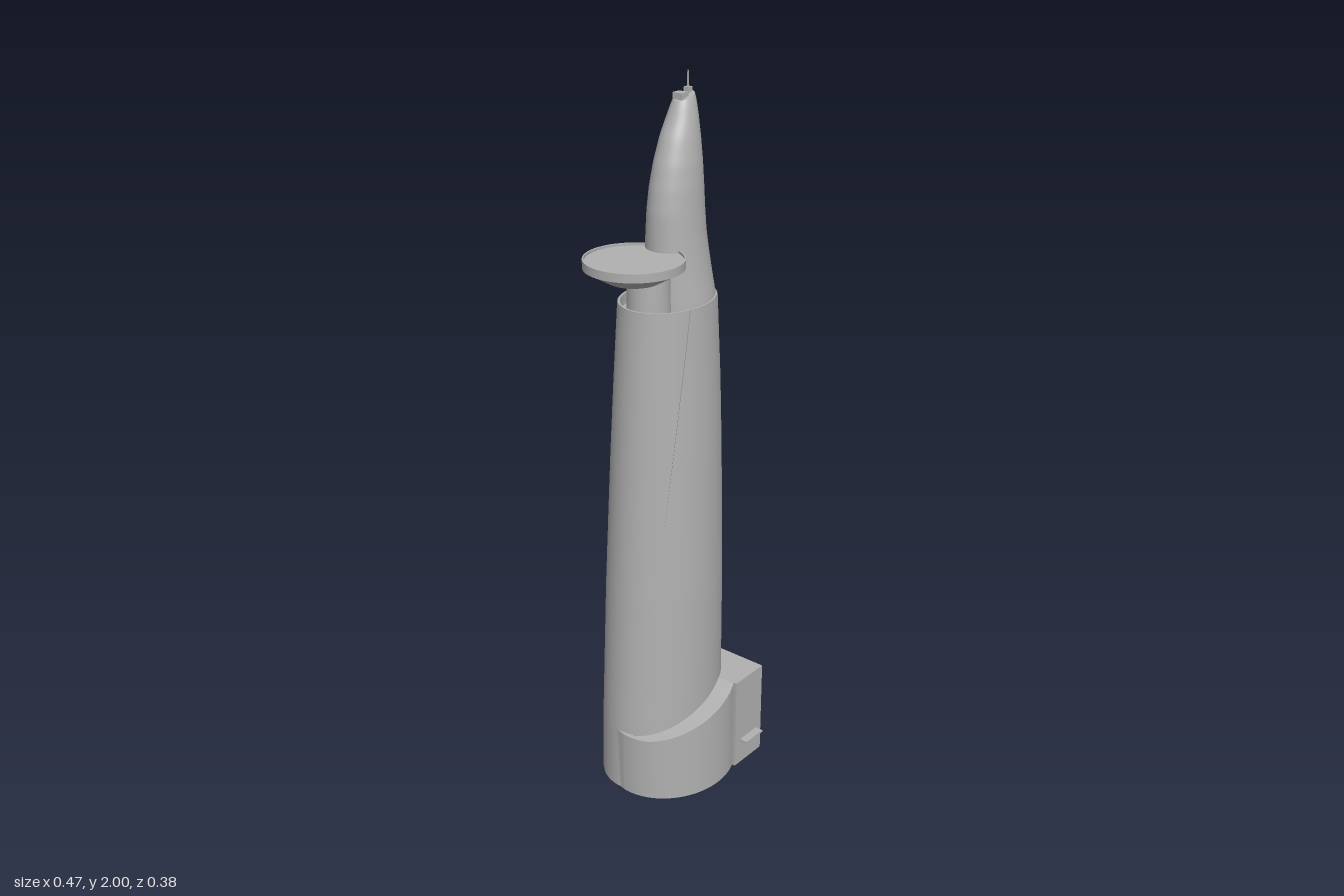
import * as THREE from 'three';

const RAD = Math.PI / 180;
const grey = new THREE.MeshStandardMaterial({ color: 0xb0b0b0, side: THREE.DoubleSide });
grey.name = 'concreteGrey';

// Smooth surface from f(u, v); u runs round the tower, v runs up
function surface(name, nu, nv, f, wrap = false) {
  const pos = [], index = [], cols = wrap ? nu : nu + 1;
  for (let j = 0; j <= nv; j++)
    for (let i = 0; i < cols; i++) pos.push(...f(i / nu, j / nv));
  for (let j = 0; j < nv; j++)
    for (let i = 0; i < nu; i++) {
      const k = (i + 1) % cols;
      const a = j * cols + i, b = j * cols + k, c = a + cols, d = b + cols;
      index.push(a, c, b, b, c, d);
    }
  const g = new THREE.BufferGeometry();
  g.setAttribute('position', new THREE.Float32BufferAttribute(pos, 3));
  g.setIndex(index);
  g.computeVertexNormals();
  return part(name, g);
}

function part(name, geometry, x = 0, y = 0, z = 0) {
  const m = new THREE.Mesh(geometry, grey);
  m.name = name;
  m.position.set(x, y, z);
  return m;
}

// Interpolates rows that start with a height
function sample(rows, y) {
  let i = 0;
  while (i < rows.length - 2 && y > rows[i + 1][0]) i++;
  const t = (y - rows[i][0]) / (rows[i + 1][0] - rows[i][0]);
  return rows[i].map((v, k) => v + (rows[i + 1][k] - v) * t);
}

// Height, left edge, right edge, back edge, front edge
const TOWER = [
  [0, -0.18, 0.211, -0.19, 0.124], [0.2, -0.176, 0.211, -0.188, 0.123],
  [0.6, -0.156, 0.209, -0.182, 0.118], [1, -0.133, 0.202, -0.17, 0.107],
  [1.2, -0.122, 0.197, -0.161, 0.099], [1.43, -0.11, 0.186, -0.147, 0.088],
];
const CORE = [
  [1.36, -0.022, 0.186, -0.128, 0.072], [1.43, -0.022, 0.182, -0.12, 0.066],
  [1.5, -0.021, 0.171, -0.109, 0.056], [1.55, -0.021, 0.163, -0.102, 0.05],
  [1.6, -0.02, 0.156, -0.098, 0.045], [1.66, -0.018, 0.152, -0.094, 0.041],
  [1.72, -0.01, 0.149, -0.09, 0.037], [1.78, 0.004, 0.146, -0.084, 0.031],
  [1.84, 0.025, 0.142, -0.076, 0.022], [1.89, 0.046, 0.137, -0.067, 0.012],
  [1.925, 0.06, 0.133, -0.058, 0.003], [1.94, 0.068, 0.13, -0.052, -0.003],
];

function ring(rows, y, a, scale = 1) {
  const [, x0, x1, z0, z1] = sample(rows, y);
  return [
    (x0 + x1) / 2 + (x1 - x0) / 2 * scale * Math.cos(a), y,
    (z0 + z1) / 2 + (z1 - z0) / 2 * scale * Math.sin(a),
  ];
}

// Two spiral seams that creep round the tower with height
const FRONT_SEAM = [[0, 169], [0.3, 160], [0.6, 146], [1, 130], [1.2, 121], [1.43, 108]];
const BACK_SEAM = [[0, 339], [0.5, 327], [1, 312], [1.3, 302], [1.43, 297]];
const front = y => sample(FRONT_SEAM, y)[1] * RAD;
const back = y => sample(BACK_SEAM, y)[1] * RAD;
const TOP = 1.43, INSET = 0.975;

export function createModel() {
  const model = new THREE.Group();
  model.name = 'tower';
  const add = (...m) => model.add(...m);

  // Overlapping outer shells, each swelling slightly towards its free edge
  const shell = (name, from, to) => surface(name, 64, 40, (u, v) => {
    const y = v * TOP, a = from(y), b = to(y);
    return ring(TOWER, y, a + (b - a) * u, INSET + (1 - INSET) * Math.min(1, u * 2));
  });
  add(shell('frontShell', y => back(y) - 2 * Math.PI, front));
  add(shell('backShell', front, back));
  for (const [name, seam] of [['frontShellEdge', front], ['backShellEdge', back]])
    add(surface(name, 1, 40, (u, v) => ring(TOWER, v * TOP, seam(v * TOP), 1 - u * (1 - INSET))));

  // Recessed roof behind a narrow rim
  add(surface('shellRim', 80, 1, (u, v) => ring(TOWER, TOP, u * 2 * Math.PI, 0.985 - v * 0.04), true));
  add(surface('rimInnerWall', 80, 1, (u, v) => {
    const p = ring(TOWER, TOP, u * 2 * Math.PI, 0.945);
    p[1] -= v * 0.03;
    return p;
  }, true));
  add(surface('shellRoof', 80, 1, (u, v) => {
    const p = ring(TOWER, TOP, u * 2 * Math.PI, 0.945 * (1 - v * 0.6));
    p[1] -= 0.03;
    return p;
  }, true));

  // Tapering core with a sloping tip
  const tilt = p => {
    p[1] += (p[0] - 0.1) * 0.28 * THREE.MathUtils.smoothstep(p[1], 1.84, 1.94);
    return p;
  };
  add(surface('core', 64, 48, (u, v) => tilt(ring(CORE, 1.36 + v * 0.58, u * 2 * Math.PI)), true));
  add(surface('coreTip', 48, 1, (u, v) => tilt(ring(CORE, 1.94, u * 2 * Math.PI, 1 - v * 0.999)), true));

  // Rooftop equipment and mast
  add(part('roofUnit', new THREE.BoxGeometry(0.026, 0.02, 0.03), 0.088, 1.94, -0.03));
  add(part('mastBase', new THREE.BoxGeometry(0.016, 0.018, 0.016), 0.118, 1.95, -0.03));
  add(part('mast', new THREE.CylinderGeometry(0.0018, 0.0025, 0.05, 8), 0.118, 1.975, -0.03));

  // Round landing deck: flat faces and sides kept sharp by doubled points
  const profile = [
    [0, 1.515], [0.07, 1.515], [0.07, 1.515], [0.121, 1.545], [0.121, 1.545], [0.13, 1.549],
    [0.13, 1.549], [0.13, 1.572], [0.13, 1.572], [0.126, 1.572], [0.126, 1.572],
    [0.126, 1.565], [0.126, 1.565], [0, 1.565],
  ].map(([r, y]) => new THREE.Vector2(r, y));
  add(part('landingDeck', new THREE.LatheGeometry(profile, 72), -0.107, 0, -0.02));
  const neck = part('deckNeck', new THREE.CylinderGeometry(0.055, 0.058, 0.125, 32), -0.039, 1.46, -0.03);
  add(neck);

  // Curved podium with a rising roof
  const podium = new THREE.Group();
  podium.name = 'podium';
  const angle = u => (185 - u * 127) * RAD;
  const outer = u => [0.02 + 0.2 * Math.cos(angle(u)), 0.175 * Math.sin(angle(u))];
  const roofY = x => 0.19 + 0.095 * THREE.MathUtils.clamp((x + 0.17) / 0.28, 0, 1);
  const slab = (u, v, height) => {
    const [x, z] = outer(u);
    const q = ring(TOWER, 0.1, angle(u), 0.97);
    return [x + (q[0] - x) * v, height(x), z + (q[2] - z) * v];
  };
  podium.add(surface('podiumWall', 48, 1, (u, v) => {
    const [x, z] = outer(u);
    return [x, v * roofY(x), z];
  }));
  podium.add(surface('podiumRoof', 48, 1, (u, v) => slab(u, v, roofY)));
  podium.add(surface('podiumFloor', 48, 1, (u, v) => slab(u, v, () => 0)));
  for (const end of [0, 1])
    podium.add(surface('podiumEnd', 1, 1, (u, v) => slab(end, u, x => v * roofY(x))));
  add(podium);

  // Entrance block and its thin canopy
  add(part('entranceBlock', new THREE.BoxGeometry(0.125, 0.285, 0.15), 0.1725, 0.1425, 0.091));
  add(part('entranceCanopy', new THREE.BoxGeometry(0.078, 0.006, 0.026), 0.173, 0.078, 0.177));

  return model;
}
